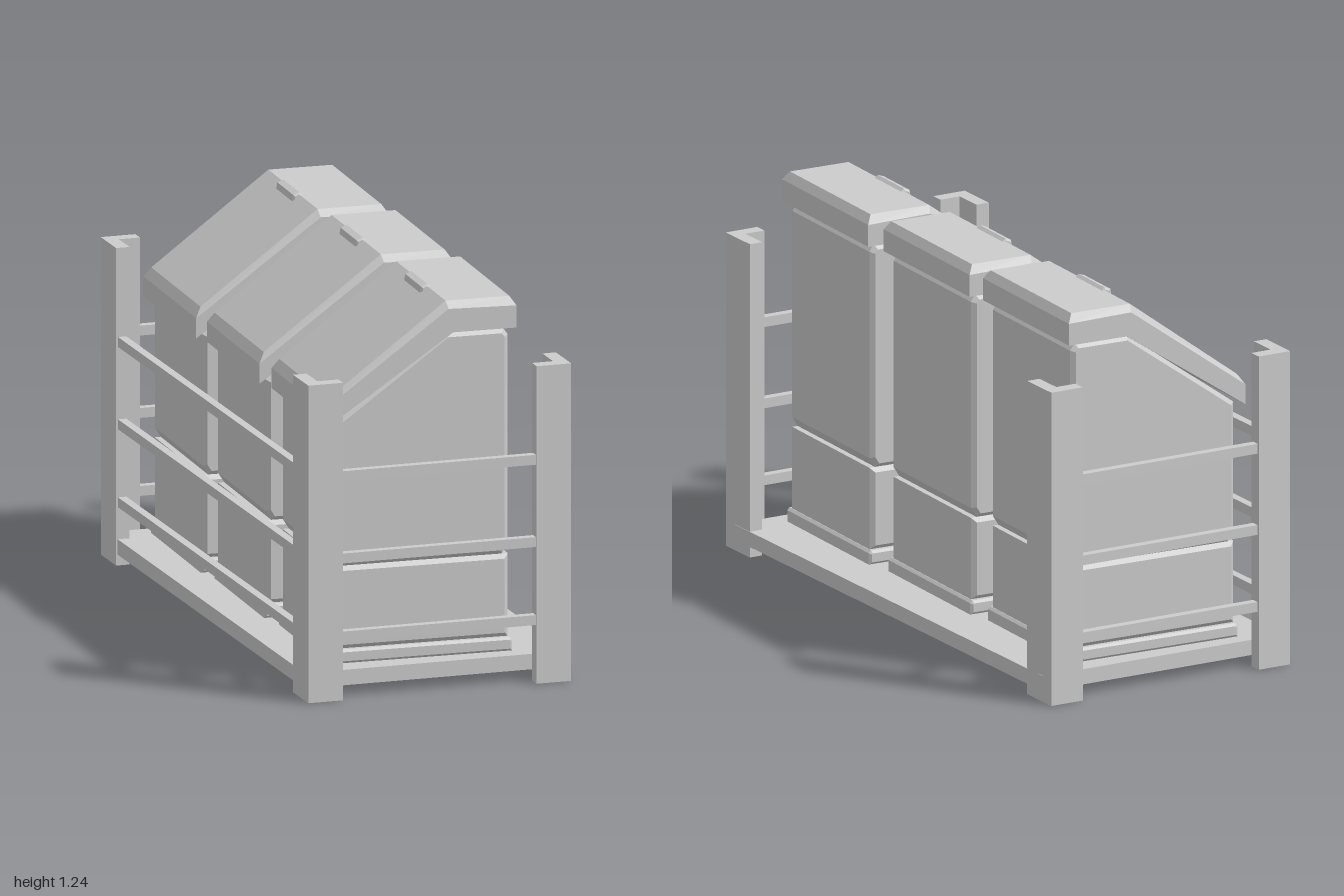
import * as THREE from 'three';

const material = new THREE.MeshStandardMaterial({ color: 0xcccccc, flatShading: true });

function add(parent, name, geometry, x = 0, y = 0, z = 0) {
  const mesh = new THREE.Mesh(geometry, material);
  mesh.name = name;
  mesh.position.set(x, y, z);
  parent.add(mesh);
  return mesh;
}

// Side profile (x, y) extruded symmetrically along z, with chamfered ends
function chamfered(points, width, bevel) {
  const shape = new THREE.Shape(points.map(([x, y]) => new THREE.Vector2(x, y)));
  const geometry = new THREE.ExtrudeGeometry(shape, {
    depth: width - 2 * bevel, bevelEnabled: bevel > 0, bevelThickness: bevel,
    bevelSize: bevel, bevelOffset: -bevel, bevelSegments: 1,
  });
  return geometry.translate(0, 0, -width / 2 + bevel);
}

// Bent lid: six-point cross-sections joined along x
function lidGeometry() {
  const half = 0.28, inset = 0.018;
  // bottom, edge and top points at the back, crease and front
  const stations = [
    [[-0.335, 0.85], [-0.335, 0.915], [-0.315, 0.947]],
    [[0.09, 1.135], [0.075, 1.212], [0.07, 1.235]],
    [[0.298, 1.135], [0.298, 1.207], [0.28, 1.235]],
  ];
  const positions = [], index = [];
  for (const [bottom, edge, top] of stations) {
    positions.push(...bottom, half, ...edge, half, ...top, half - inset);
    positions.push(...top, inset - half, ...edge, -half, ...bottom, -half);
  }
  const quad = (a, b, c, d) => index.push(a, b, c, a, c, d);
  for (let s = 0; s < 2; s++) {
    for (let k = 0; k < 6; k++) {
      const n = (k + 1) % 6;
      quad(s * 6 + k, s * 6 + 6 + k, s * 6 + 6 + n, s * 6 + n);
    }
  }
  quad(12, 17, 16, 13);
  quad(13, 16, 15, 14);
  quad(1, 4, 5, 0);
  quad(2, 3, 4, 1);
  const geometry = new THREE.BufferGeometry();
  geometry.setAttribute('position', new THREE.Float32BufferAttribute(positions, 3));
  geometry.setIndex(index);
  const flat = geometry.toNonIndexed();
  flat.computeVertexNormals();
  return flat;
}

function createBin() {
  const bin = new THREE.Group();
  bin.name = 'bin';
  add(bin, 'binFoot', chamfered(
    [[-0.315, 0.085], [0.288, 0.085], [0.288, 0.122], [0.28, 0.13], [-0.307, 0.13], [-0.315, 0.122]], 0.546, 0.008));
  add(bin, 'lowerBody', chamfered(
    [[-0.307, 0.13], [0.278, 0.13], [0.278, 0.398], [-0.307, 0.398]], 0.53, 0.014));
  add(bin, 'upperBody', chamfered(
    [[-0.287, 0.398], [0.258, 0.398], [0.278, 0.43], [0.278, 1.108], [0.262, 1.13],
      [0.075, 1.13], [-0.307, 0.855], [-0.307, 0.43]], 0.53, 0.014));
  add(bin, 'lid', lidGeometry());
  // Six-sided grip lying on the lid crease
  const hexagon = [];
  for (let i = 0; i < 6; i++) {
    const a = (i * Math.PI) / 3 + 0.35;
    hexagon.push([0.022 * Math.cos(a), 0.022 * Math.sin(a)]);
  }
  add(bin, 'lidHandle', chamfered(hexagon, 0.18, 0.006), 0.065, 1.222, -0.012);
  return bin;
}

// L-section corner post, standing upright
function postGeometry(sx, sz) {
  const ox = 0.437 * sx, oz = sz;
  const outline = [[0, 0], [0.115, 0], [0.115, 0.045], [0.045, 0.045], [0.045, 0.148], [0, 0.148]];
  const shape = new THREE.Shape(outline.map(([x, z]) => new THREE.Vector2(ox - sx * x, -(oz - sz * z))));
  return new THREE.ExtrudeGeometry(shape, { depth: 1.03, bevelEnabled: false }).rotateX(-Math.PI / 2);
}

export function createModel() {
  const model = new THREE.Group();
  model.name = 'binRack';

  // Frame: base plate, posts and rails (the +x side stays open)
  const frame = new THREE.Group();
  frame.name = 'frame';
  model.add(frame);
  add(frame, 'basePlate', new THREE.BoxGeometry(0.87, 0.05, 1.9), 0.003, 0.06, 0);
  for (const sx of [-1, 1]) {
    for (const sz of [-1, 1]) add(frame, 'cornerPost', postGeometry(sx, sz));
  }
  for (const y of [0.205, 0.458, 0.725]) {
    for (const sz of [-1, 1]) {
      add(frame, 'endRail', new THREE.BoxGeometry(0.68, 0.032, 0.028), 0, y, sz * 0.979);
    }
    add(frame, 'sideRail', new THREE.BoxGeometry(0.028, 0.032, 1.74), -0.417, y, 0);
  }

  // Three bins, each turned slightly on the plate
  for (const z of [-0.62, -0.01, 0.613]) {
    const bin = createBin();
    bin.position.z = z;
    bin.rotation.y = -0.033;
    model.add(bin);
  }
  return model;
}
